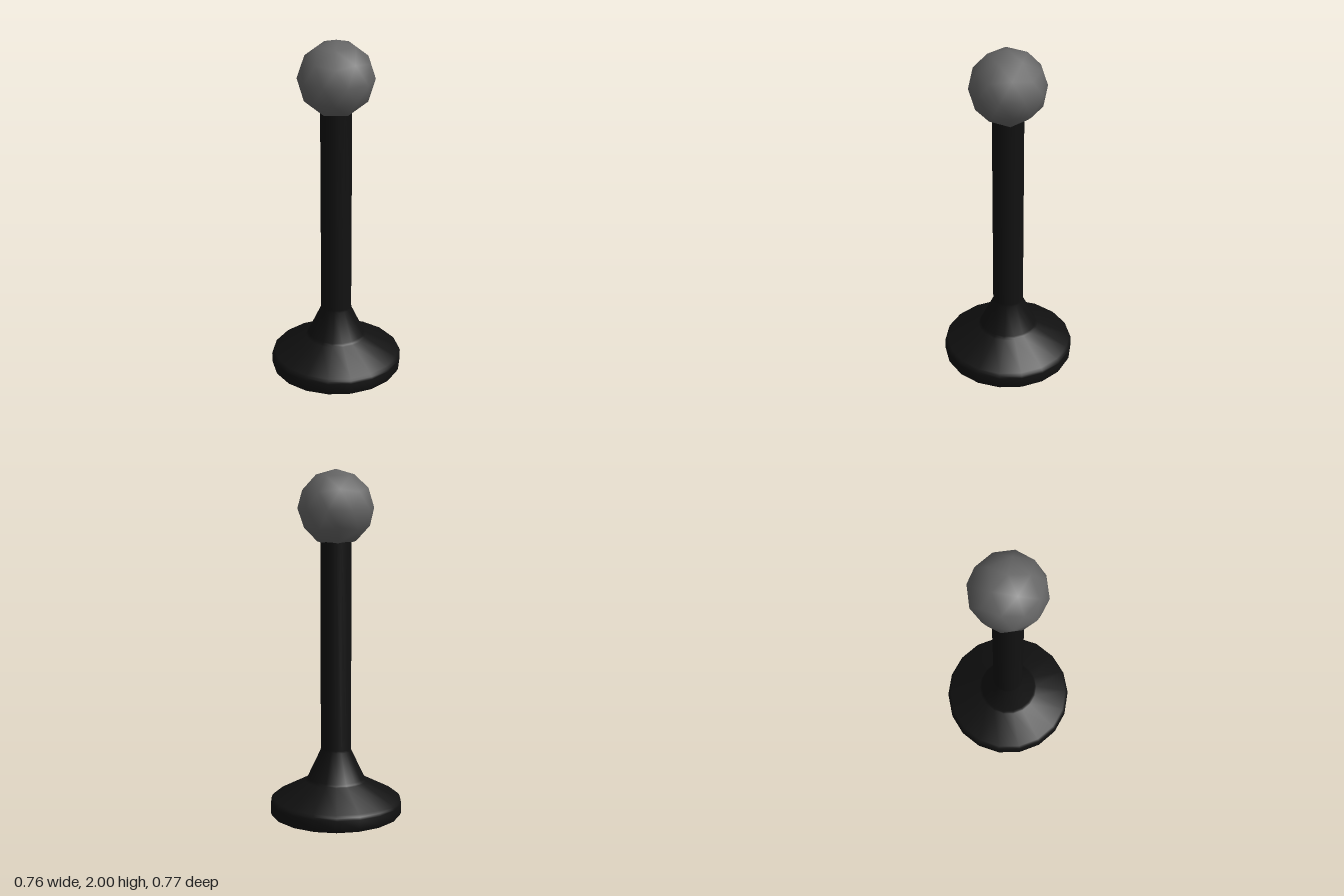
import * as THREE from 'three';
import { toCreasedNormals } from 'three/addons/utils/BufferGeometryUtils.js';

const SIDES = 18;

function part(name, geometry, color) {
  const mesh = new THREE.Mesh(geometry, new THREE.MeshStandardMaterial({ color }));
  mesh.name = name;
  return mesh;
}

// Turned part from [radius, height] pairs, listed bottom to top
function turned(points) {
  const profile = points.map(([r, y]) => new THREE.Vector2(r, y));
  return toCreasedNormals(new THREE.LatheGeometry(profile, SIDES), 0.6);
}

export function createModel() {
  const model = new THREE.Group();
  model.name = 'knobOnStand';

  // Flared foot with softened rim, running up into the slim shaft
  model.add(part('standAndShaft', turned([
    [0, 0], [0.365, 0], [0.378, 0.006], [0.385, 0.022],
    [0.385, 0.075], [0.38, 0.09], [0.367, 0.102],
    [0.18, 0.202], [0.171, 0.209], [0.165, 0.22],
    [0.09, 0.38], [0.089, 0.395], [0.089, 1.62], [0, 1.62],
  ]), 0x111111));

  // Faceted ball, turned so that a corner points straight up
  const ball = new THREE.IcosahedronGeometry(0.217, 1);
  ball.rotateZ(-Math.atan(2 / (1 + Math.sqrt(5))));
  ball.translate(0, 1.783, 0);
  model.add(part('ballKnob', ball, 0x666666));

  return model;
}
